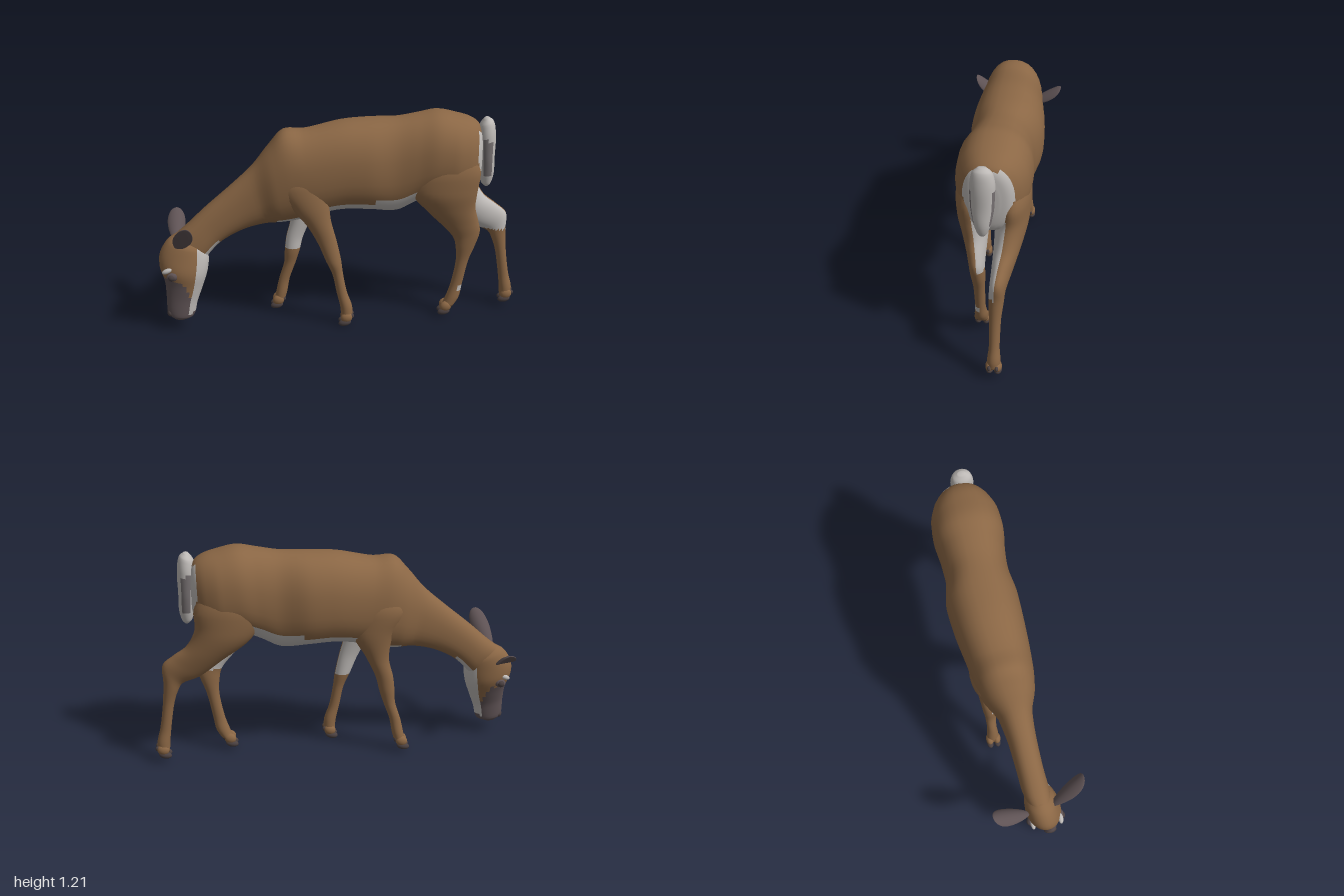
import * as THREE from 'three';

const mat = (name, color) => Object.assign(new THREE.MeshStandardMaterial({ color }), { name });
const brown = mat('brown coat', 0x8b6745);
const pale = mat('pale fur', 0xbdb9b6);
const dark = mat('dark muzzle', 0x5e5254);
const hoofMat = mat('hoof', 0x4a4040);
const grey = mat('grey tail stripe', 0x767071);
const palette = [brown, pale, dark, grey];
const BROWN = 0, PALE = 1, DARK = 2, GREY = 3;
const MID = -0.075; // z of the trunk's mid plane

// Smooth loft. Section: [ax, ay, bx, by, z, halfWidth], where a and b are opposite
// ends of the cross-section in the side plane. paint(x, y, c, s) picks the colour.
function loft(name, sections, paint = () => BROWN, power = 1, steps = 5, seg = 32) {
  const curve = f => new THREE.CatmullRomCurve3(sections.map(f));
  const a = curve(s => new THREE.Vector3(s[0], s[1], 0));
  const b = curve(s => new THREE.Vector3(s[2], s[3], 0));
  const w = curve(s => new THREE.Vector3(s[4], s[5], 0));
  const rings = (sections.length - 1) * steps, pos = [], faces = [[], [], [], []];
  const bend = v => Math.sign(v) * Math.abs(v) ** power;
  for (let i = 0; i <= rings; i++) {
    const A = a.getPoint(i / rings), B = b.getPoint(i / rings), W = w.getPoint(i / rings);
    for (let j = 0; j < seg; j++) {
      const t = j / seg * Math.PI * 2, c = bend(Math.cos(t)) / 2;
      pos.push(A.x * (0.5 + c) + B.x * (0.5 - c), A.y * (0.5 + c) + B.y * (0.5 - c),
        W.x + W.y * bend(Math.sin(t)));
    }
  }
  for (const s of [sections[0], sections.at(-1)]) pos.push((s[0] + s[2]) / 2, (s[1] + s[3]) / 2, s[4]);
  const first = (rings + 1) * seg, last = first + 1;
  for (let i = 0; i <= rings; i++) for (let j = 0; j < seg; j++) {
    const k = (j + 1) % seg, p = i * seg + j, q = i * seg + k, t = (j + 0.5) / seg * Math.PI * 2;
    const list = faces[paint((pos[p * 3] + pos[q * 3]) / 2, pos[p * 3 + 1], Math.cos(t), Math.sin(t))];
    if (i < rings) list.push(p, q, q + seg, p, q + seg, p + seg);
    if (i === 0) list.push(first, q, p);
    if (i === rings) list.push(last, p, q);
  }
  const geo = new THREE.BufferGeometry();
  geo.setAttribute('position', new THREE.Float32BufferAttribute(pos, 3));
  geo.setIndex(faces.flat());
  let start = 0;
  faces.forEach((f, m) => { if (f.length) geo.addGroup(start, f.length, m); start += f.length; });
  geo.computeVertexNormals();
  const mesh = new THREE.Mesh(geo, palette);
  mesh.name = name;
  return mesh;
}

function blob(name, material, x, y, z, sx, sy, sz, tilt = 0) {
  const mesh = new THREE.Mesh(new THREE.SphereGeometry(1, 16, 12), material);
  mesh.name = name;
  mesh.position.set(x, y, z);
  mesh.scale.set(sx, sy, sz);
  mesh.rotation.z = tilt;
  return mesh;
}

// Cloven foot: two fur toes, two hooves and two dewclaws
function foot(name, x, y, z) {
  const g = new THREE.Group();
  g.name = name;
  for (const s of [-1, 1]) {
    g.add(blob('toe', brown, x, y + 0.052, z + s * 0.02, 0.034, 0.03, 0.022, 0.5));
    g.add(blob('hoof', hoofMat, x - 0.01, y + 0.021, z + s * 0.021, 0.036, 0.02, 0.02, 0.2));
    g.add(blob('dewclaw', hoofMat, x + 0.03, y + 0.06, z + s * 0.019, 0.012, 0.014, 0.009));
  }
  return g;
}

// Cupped leaf-shaped ear reaching from base to tip
function ear(name, base, tip, side) {
  const a = new THREE.Vector3(...base), b = new THREE.Vector3(...tip);
  const geo = new THREE.SphereGeometry(1, 20, 16), p = geo.attributes.position;
  for (let i = 0; i < p.count; i++) {
    const y = p.getY(i), x = p.getX(i) * (0.82 + 0.28 * y);
    p.setXYZ(i, x * 0.058, y * a.distanceTo(b) / 2, p.getZ(i) * 0.013 + side * (x * x - 0.4) * 0.024);
  }
  const up = b.clone().sub(a).normalize();
  const across = new THREE.Vector3(1, -0.2, 0).addScaledVector(up, -up.x + 0.2 * up.y).normalize();
  geo.applyMatrix4(new THREE.Matrix4().makeBasis(across, up, across.clone().cross(up)));
  geo.computeVertexNormals();
  const mesh = new THREE.Mesh(geo, dark);
  mesh.name = name;
  mesh.position.copy(a).lerp(b, 0.5);
  return mesh;
}

export function createModel() {
  const model = new THREE.Group();
  model.name = 'grazing deer';

  // Neck and trunk, from poll to rump
  model.add(loft('trunk', [
    [-0.95, 0.52, -0.77, 0.37, 0.025, 0.06], [-0.86, 0.59, -0.73, 0.43, 0.01, 0.072],
    [-0.74, 0.70, -0.66, 0.50, -0.003, 0.071], [-0.60, 0.82, -0.54, 0.565, -0.015, 0.075],
    [-0.48, 0.93, -0.42, 0.595, -0.027, 0.09], [-0.39, 1.04, -0.33, 0.60, -0.04, 0.135],
    [-0.31, 1.12, -0.24, 0.61, -0.05, 0.157], [-0.20, 1.12, -0.14, 0.64, -0.055, 0.168],
    [0.0, 1.16, 0.0, 0.665, -0.07, 0.184], [0.15, 1.17, 0.15, 0.66, -0.078, 0.19],
    [0.30, 1.175, 0.30, 0.65, MID, 0.168], [0.42, 1.195, 0.40, 0.70, MID, 0.175],
    [0.52, 1.21, 0.50, 0.74, MID, 0.188], [0.62, 1.19, 0.60, 0.74, MID, 0.184],
    [0.70, 1.165, 0.68, 0.74, MID, 0.155], [0.745, 1.13, 0.74, 0.78, MID, 0.11],
    [0.76, 1.05, 0.76, 0.87, MID, 0.05],
  ], (x, y, c) => {
    if (x > 0.725 && y < 1.12) return PALE;
    if (x < -0.68) return c < -0.75 ? PALE : BROWN;
    if (x < -0.36) return BROWN;
    if (x < -0.2) return c < -0.88 ? PALE : BROWN;
    return c < -0.72 + Math.max(0, x) * 0.5 ? PALE : BROWN;
  }, 0.88));

  // Head, from nose to poll
  model.add(loft('head', [
    [-0.935, 0.068, -0.865, 0.065, 0.075, 0.028], [-0.965, 0.10, -0.825, 0.085, 0.072, 0.05],
    [-0.97, 0.20, -0.80, 0.17, 0.066, 0.055], [-0.975, 0.29, -0.77, 0.25, 0.053, 0.074],
    [-1.0, 0.38, -0.74, 0.34, 0.04, 0.096], [-0.995, 0.45, -0.73, 0.42, 0.03, 0.09],
    [-0.95, 0.525, -0.74, 0.47, 0.022, 0.08], [-0.89, 0.565, -0.77, 0.52, 0.015, 0.045],
  ], (x, y, c) => {
    if (c < -0.5 && y > 0.1 && y < 0.49) return PALE;
    return y < 0.31 && c > -0.5 + Math.max(0, y - 0.2) * 5 || y < 0.12 ? DARK : BROWN;
  }));
  model.add(blob('nose', hoofMat, -0.95, 0.105, 0.073, 0.022, 0.025, 0.036));
  for (const s of [-1, 1]) {
    const z = 0.043 + s * 0.083;
    model.add(blob('eyelid', dark, -0.925, 0.345, z, 0.032, 0.025, 0.018, 0.3));
    model.add(blob('eye', hoofMat, -0.928, 0.345, z + s * 0.01, 0.019, 0.018, 0.014));
    model.add(blob('brow patch', pale, -0.952, 0.378, z - s * 0.007, 0.03, 0.014, 0.014, 0.4));
  }
  model.add(ear('leftEar', [-0.895, 0.48, 0.08], [-0.82, 0.68, 0.265], 1));
  model.add(ear('rightEar', [-0.91, 0.46, -0.05], [-0.92, 0.59, -0.25], -1));

  // Legs: each row is [rear x, rear y, front x, front y, offset from mid plane, half width]
  const leg = (name, side, rows, low, high, footAt, edge = 0) => {
    const sections = rows.map(r => [...r.slice(0, 4), MID + side * r[4], r[5]]);
    model.add(loft(name, sections, (x, y, c, s) => {
      if (edge === 1 && y > 0.17 && y < 0.22 && c > 0.1 && s > 0) return PALE;
      return s * side < (edge ? -0.1 : -0.25) && y > low && y < high ? PALE : BROWN;
    }));
    model.add(foot(name + 'Foot', footAt[0], footAt[1], MID + side * rows.at(-1)[4]));
  };
  leg('leftFrontLeg', 1, [
    [-0.12, 1.0, -0.30, 1.0, 0.10, 0.03], [-0.08, 0.85, -0.36, 0.85, 0.118, 0.068],
    [-0.07, 0.74, -0.28, 0.72, 0.13, 0.062], [-0.06, 0.64, -0.19, 0.61, 0.135, 0.05],
    [-0.03, 0.52, -0.13, 0.50, 0.138, 0.039], [-0.005, 0.40, -0.09, 0.40, 0.14, 0.039],
    [0.005, 0.32, -0.055, 0.32, 0.14, 0.03], [0.028, 0.20, -0.03, 0.20, 0.14, 0.027],
    [0.055, 0.12, -0.01, 0.11, 0.14, 0.033], [0.06, 0.06, -0.005, 0.045, 0.14, 0.034],
  ], 0.4, 0.74, [0.025, 0.0]);
  leg('rightFrontLeg', -1, [
    [-0.12, 1.0, -0.30, 1.0, 0.06, 0.03], [-0.08, 0.85, -0.36, 0.85, 0.075, 0.07],
    [-0.08, 0.72, -0.30, 0.72, 0.075, 0.062], [-0.15, 0.59, -0.28, 0.57, 0.065, 0.048],
    [-0.21, 0.46, -0.305, 0.46, 0.06, 0.04], [-0.23, 0.38, -0.315, 0.38, 0.055, 0.039],
    [-0.255, 0.30, -0.32, 0.30, 0.055, 0.03], [-0.29, 0.20, -0.35, 0.20, 0.055, 0.027],
    [-0.305, 0.12, -0.37, 0.11, 0.055, 0.033], [-0.315, 0.08, -0.38, 0.06, 0.055, 0.034],
  ], 0.4, 0.72, [-0.357, 0.015]);
  leg('leftHindLeg', 1, [
    [0.68, 1.05, 0.46, 1.05, 0.10, 0.04], [0.745, 0.90, 0.38, 0.88, 0.106, 0.08],
    [0.735, 0.78, 0.375, 0.78, 0.10, 0.082], [0.73, 0.68, 0.46, 0.67, 0.088, 0.066],
    [0.75, 0.60, 0.555, 0.57, 0.075, 0.05], [0.765, 0.53, 0.62, 0.49, 0.067, 0.04],
    [0.745, 0.45, 0.635, 0.43, 0.063, 0.037], [0.71, 0.35, 0.64, 0.35, 0.06, 0.03],
    [0.68, 0.20, 0.615, 0.20, 0.06, 0.027], [0.665, 0.12, 0.59, 0.12, 0.06, 0.034],
    [0.64, 0.075, 0.565, 0.06, 0.06, 0.035],
  ], 0.5, 0.85, [0.59, 0.015], 1);
  leg('rightHindLeg', -1, [
    [0.68, 1.05, 0.46, 1.05, 0.10, 0.04], [0.75, 0.90, 0.40, 0.88, 0.106, 0.08],
    [0.75, 0.79, 0.45, 0.74, 0.10, 0.082], [0.80, 0.69, 0.61, 0.61, 0.088, 0.066],
    [0.87, 0.635, 0.74, 0.51, 0.075, 0.05], [0.93, 0.58, 0.83, 0.47, 0.067, 0.04],
    [0.932, 0.48, 0.858, 0.42, 0.063, 0.037], [0.942, 0.35, 0.88, 0.35, 0.06, 0.03],
    [0.965, 0.20, 0.905, 0.20, 0.06, 0.027], [0.985, 0.12, 0.915, 0.12, 0.06, 0.034],
    [0.985, 0.075, 0.92, 0.06, 0.06, 0.035],
  ], 0.5, 0.85, [0.955, 0.025], 2);

  // Hanging tail with a grey stripe down each side
  model.add(loft('tail', [
    [0.79, 1.175, 0.765, 1.17, -0.055, 0.02], [0.815, 1.155, 0.74, 1.13, -0.055, 0.05],
    [0.83, 1.08, 0.735, 1.06, -0.055, 0.062], [0.83, 0.95, 0.745, 0.95, -0.055, 0.058],
    [0.83, 0.85, 0.752, 0.85, -0.055, 0.042], [0.815, 0.795, 0.765, 0.80, -0.055, 0.025],
    [0.80, 0.778, 0.785, 0.78, -0.055, 0.008],
  ], (x, y, c, s) => Math.abs(s) > 0.85 && y > 0.86 && y < 1.07 ? GREY : PALE));

  return model;
}
